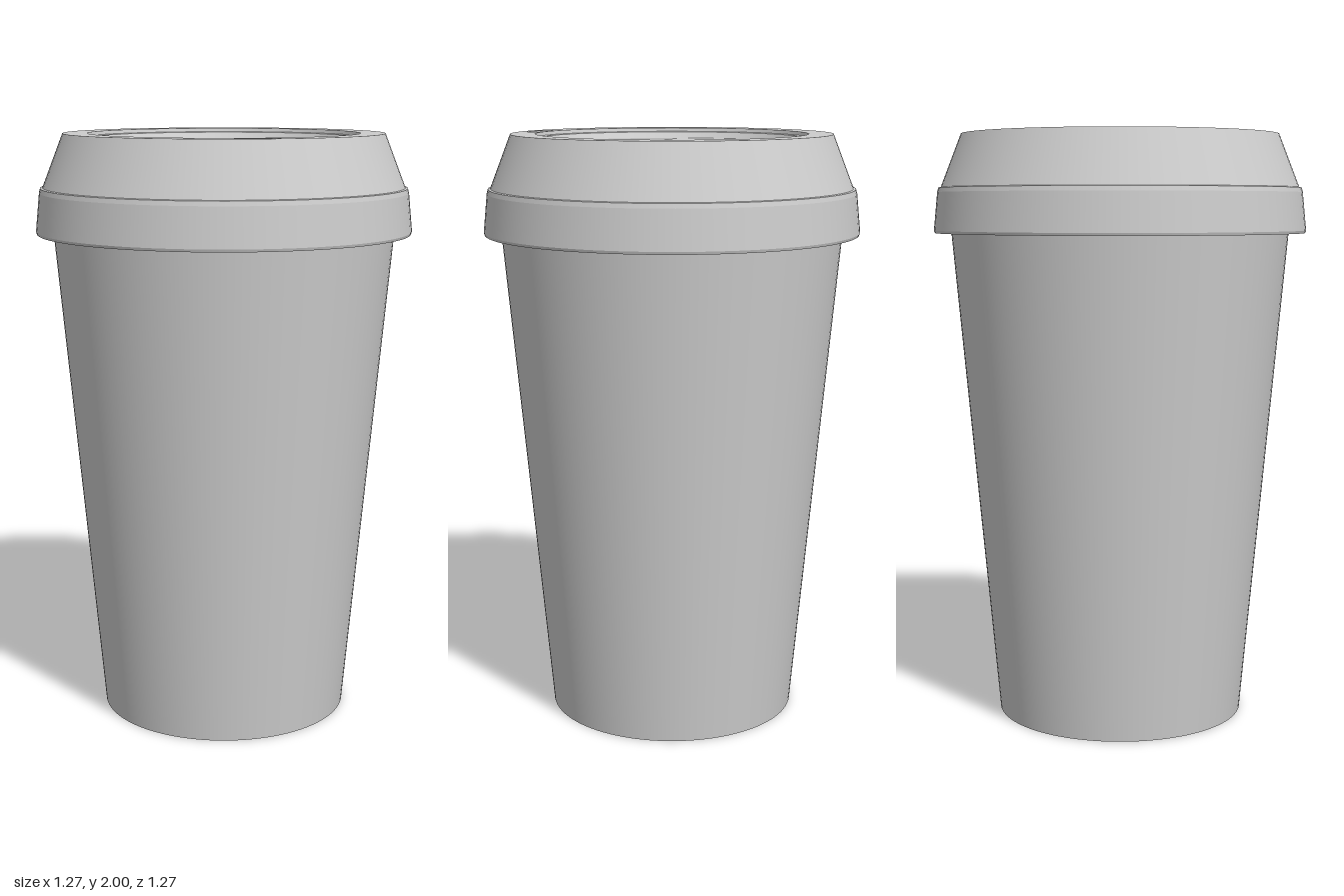
import * as THREE from 'three';
import { mergeGeometries } from 'three/addons/utils/BufferGeometryUtils.js';

const SEG = 96;

// Revolve a profile [r, y] with a sharp edge at every point
function revolve(points, start = 0, length = Math.PI * 2) {
  const bands = [];
  for (let i = 0; i < points.length - 1; i++) {
    const pair = [points[i], points[i + 1]].map(([r, y]) => new THREE.Vector2(r, y));
    bands.push(new THREE.LatheGeometry(pair, SEG, start, length));
  }
  return mergeGeometries(bands);
}

// Rounded slot outline, centred on (cx, cy) and turned by angle
function slotPath(cx, cy, halfLength, radius, angle) {
  const path = new THREE.Path();
  const d = halfLength - radius;
  const dx = d * Math.cos(angle), dy = d * Math.sin(angle);
  path.absarc(cx + dx, cy + dy, radius, angle - Math.PI / 2, angle + Math.PI / 2, false);
  path.absarc(cx - dx, cy - dy, radius, angle + Math.PI / 2, angle + Math.PI * 1.5, false);
  path.closePath();
  return path;
}

export function createModel() {
  const model = new THREE.Group();
  const grey = new THREE.MeshStandardMaterial({ color: 0xcccccc, side: THREE.DoubleSide });
  grey.name = 'light grey';

  const add = (name, geometry, parent) => {
    const mesh = new THREE.Mesh(geometry, grey);
    mesh.name = name;
    parent.add(mesh);
    return mesh;
  };

  // Cup: thin tapered wall, open at the top, with a raised base
  const cup = new THREE.Group();
  cup.name = 'cup';
  model.add(cup);
  add('cupWall', revolve([
    [0.418, 0.1], [0.411, 0], [0.425, 0], [0.588, 1.8], [0.574, 1.8], [0.42, 0.11],
  ]), cup);
  const base = add('cupBase', new THREE.CircleGeometry(0.42, SEG), cup);
  base.rotation.x = Math.PI / 2;
  base.position.y = 0.1;

  // Lid: flared skirt, small bead and sloping shoulder
  const lid = new THREE.Group();
  lid.name = 'lid';
  model.add(lid);
  add('lidShell', revolve([
    [0.53, 1.985], [0.598, 1.81], [0.608, 1.8], [0.62, 1.67], [0.632, 1.668], [0.635, 1.677],
    [0.622, 1.805], [0.618, 1.82], [0.61, 1.822], [0.54, 2],
  ]), lid);

  // Flat rim with the drinking slot cut through it
  const crease = 0.073;
  const rim = new THREE.Shape();
  rim.absarc(0, 0, 0.54, 0, Math.PI * 2, false);
  const opening = new THREE.Path();
  opening.absarc(0, 0, 0.457, 0, Math.PI * 2, true);
  rim.holes.push(opening, slotPath(0.032, -0.486, 0.078, 0.022, crease));
  const rimGeometry = new THREE.ExtrudeGeometry(rim, { depth: 0.012, bevelEnabled: false, curveSegments: SEG / 2 });
  rimGeometry.rotateX(-Math.PI / 2);
  add('rimWithSlot', rimGeometry, lid).position.y = 1.988;

  // Stepped recess wall
  const R = 0.432, shallow = 1.965, deep = 1.83, dist = 0.13;
  add('recessWall', revolve([[0.457, 2], [0.453, 1.988], [0.444, 1.986], [R, shallow]]), lid);

  // Recess floor in two levels, split by a slightly turned step
  const half = Math.acos(dist / R);
  const middle = crease - Math.PI / 2;
  const floor = (name, from, to, y) => {
    const shape = new THREE.Shape();
    shape.absarc(0, 0, R, from, to, false);
    shape.closePath();
    const geometry = new THREE.ShapeGeometry(shape, SEG);
    geometry.rotateX(-Math.PI / 2);
    add(name, geometry, lid).position.y = y;
  };
  floor('upperFloor', middle + half, middle - half + Math.PI * 2, shallow);
  floor('lowerFloor', middle - half, middle + half, deep);
  add('lowerFloorWall', revolve([[R, shallow], [R, deep]], crease - half, 2 * half), lid);
  const step = add('floorStep', new THREE.PlaneGeometry(2 * R * Math.sin(half), shallow - deep), lid);
  step.rotation.y = crease;
  step.position.set(dist * Math.sin(crease), (shallow + deep) / 2, dist * Math.cos(crease));

  return model;
}
